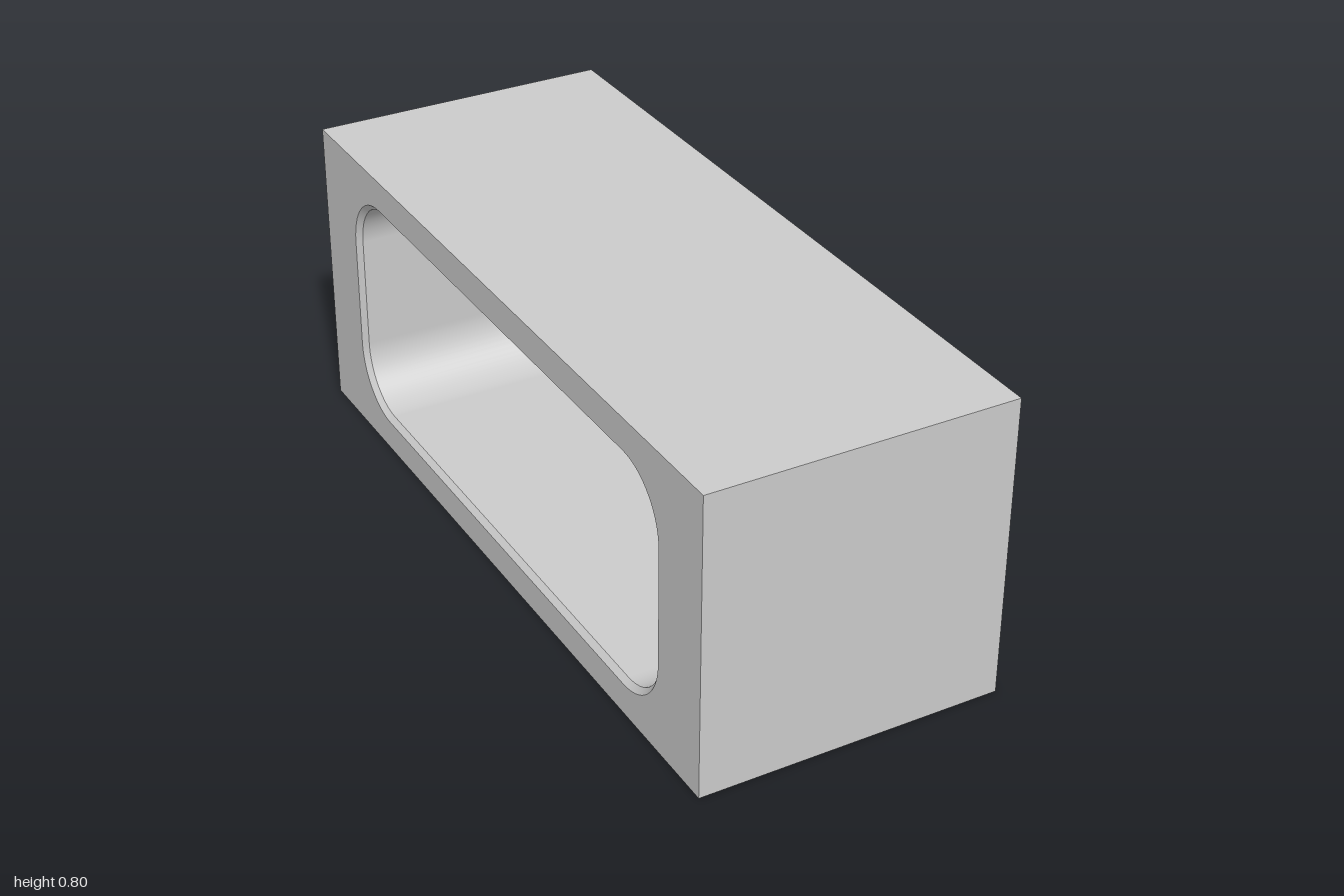
import * as THREE from 'three';

const W = 0.8, H = 0.8, L = 2;      // block size in x, y, z
const CHAMFER = 0.014;              // rim chamfer of the opening
const material = new THREE.MeshStandardMaterial({ color: 0xcccccc });

// Rounded-rectangle outline of the opening, grown outward by an offset
function openingOutline(offset) {
  const radius = 0.15, halfL = 0.8, halfH = 0.303, steps = 16;
  const points = [];
  for (let corner = 0; corner < 4; corner++) {
    const cx = (corner === 0 || corner === 3 ? 1 : -1) * (halfL - radius);
    const cy = (corner < 2 ? 1 : -1) * (halfH - radius);
    for (let i = 0; i <= steps; i++) {
      const a = (corner + i / steps) * Math.PI / 2;
      points.push(new THREE.Vector2(
        cx + (radius + offset) * Math.cos(a),
        cy + (radius + offset) * Math.sin(a)));
    }
  }
  return points;
}

// Inward-facing band joining two outlines at different x
function band(x0, ring0, x1, ring1) {
  const positions = [], index = [], n = ring0.length;
  for (const p of ring0) positions.push(x0, p.y, p.x);
  for (const p of ring1) positions.push(x1, p.y, p.x);
  for (let i = 0; i < n; i++) {
    const j = (i + 1) % n;
    index.push(i, j, n + i, j, n + j, n + i);
  }
  const geometry = new THREE.BufferGeometry();
  geometry.setAttribute('position', new THREE.Float32BufferAttribute(positions, 3));
  geometry.setIndex(index);
  geometry.computeVertexNormals();
  return geometry;
}

export function createModel() {
  const group = new THREE.Group();
  group.name = 'hollowBlock';
  const add = (name, geometry) => {
    geometry.translate(0, H / 2, 0);
    const mesh = new THREE.Mesh(geometry, material);
    mesh.name = name;
    group.add(mesh);
  };

  // Solid outer faces: front, back, top and bottom
  const end = () => new THREE.PlaneGeometry(W, H).translate(0, 0, L / 2);
  const slab = () => new THREE.PlaneGeometry(W, L).translate(0, 0, H / 2);
  add('frontFace', end());
  add('backFace', end().rotateY(Math.PI));
  add('topFace', slab().rotateX(-Math.PI / 2));
  add('bottomFace', slab().rotateX(Math.PI / 2));

  // Side faces with the rounded opening
  const inner = openingOutline(0), outer = openingOutline(CHAMFER);
  const side = new THREE.Shape([
    new THREE.Vector2(-L / 2, -H / 2), new THREE.Vector2(L / 2, -H / 2),
    new THREE.Vector2(L / 2, H / 2), new THREE.Vector2(-L / 2, H / 2)]);
  side.holes.push(new THREE.Path(outer));
  for (const [name, s] of [['leftFace', 1], ['rightFace', -1]]) {
    add(name, new THREE.ShapeGeometry(side).translate(0, 0, W / 2).rotateY(s * Math.PI / 2));
  }

  // Tunnel wall with a chamfered rim at each end
  const xRim = W / 2, xWall = W / 2 - CHAMFER;
  add('rightRim', band(-xRim, outer, -xWall, inner));
  add('tunnelWall', band(-xWall, inner, xWall, inner));
  add('leftRim', band(xWall, inner, xRim, outer));

  return group;
}
